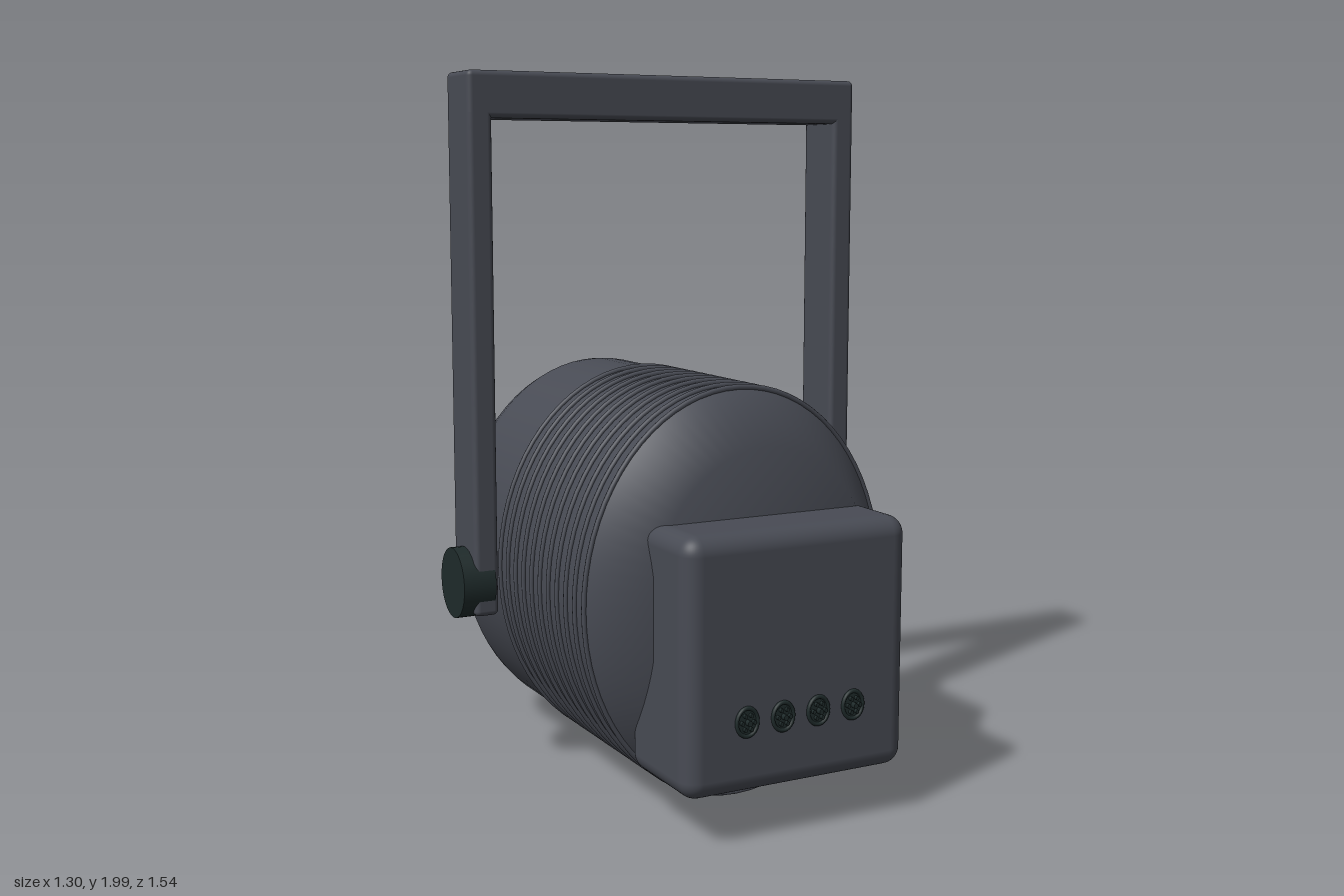
import * as THREE from 'three';
import { RoundedBoxGeometry } from 'three/addons/geometries/RoundedBoxGeometry.js';

export function createModel() {
  const model = new THREE.Group();
  model.name = 'stageLight';
  const material = (name, color) => {
    const m = new THREE.MeshStandardMaterial({ color });
    m.name = name;
    return m;
  };
  const grey = material('housing grey', 0x484b54);
  const dark = material('dark trim', 0x1f2b2b);
  const teal = material('lens teal', 0x35707e);

  const add = (parent, name, geometry, mat, x = 0, y = 0, z = 0) => {
    const mesh = new THREE.Mesh(geometry, mat);
    mesh.name = name;
    mesh.position.set(x, y, z);
    parent.add(mesh);
    return mesh;
  };
  // Cylinder lying along z
  const disc = (r, depth, sides = 32) =>
    new THREE.CylinderGeometry(r, r, depth, sides).rotateX(Math.PI / 2);

  // Lamp head: round parts squeezed into an oval
  const head = new THREE.Group();
  head.name = 'head';
  head.position.y = 0.587;
  head.scale.x = 0.815;
  model.add(head);

  const profile = [
    [0, -0.6], [0.512, -0.605], [0.53, -0.575], [0.548, -0.535], [0.562, -0.492], [0.565, -0.46],
    [0.565, 0.4], [0.562, 0.42], [0.425, 0.57], [0, 0.57],
  ].map(([r, z]) => new THREE.Vector2(r, z));
  add(head, 'barrel', new THREE.LatheGeometry(profile, 72).rotateX(Math.PI / 2), grey);

  // Cooling ribs
  const rib = new THREE.TorusGeometry(0.568, 0.008, 8, 72);
  for (let i = 0; i < 11; i++) add(head, 'coolingRib', rib, grey, 0, 0, 0.417 - i * 0.058);

  // Rear face plate and rim
  add(head, 'facePlate', disc(0.48, 0.02, 64), dark, 0, 0, -0.604);
  add(head, 'faceRim', new THREE.TorusGeometry(0.469, 0.009, 8, 72), grey, 0, 0, -0.629);

  // Seven lenses: one in the middle, six around it
  const lensGeo = disc(0.13, 0.054, 40);
  const lensRimGeo = new THREE.TorusGeometry(0.13, 0.008, 8, 40);
  const studGeo = disc(0.022, 0.03, 16);
  for (let i = 0; i < 7; i++) {
    const a = (i * Math.PI) / 3;
    const r = i < 6 ? 0.3 : 0;
    const lens = new THREE.Group();
    lens.name = 'lens';
    lens.position.set(r * Math.cos(a), r * Math.sin(a), 0);
    add(lens, 'lensGlass', lensGeo, teal, 0, 0, -0.727);
    add(lens, 'lensRim', lensRimGeo, dark, 0, 0, -0.709);
    add(lens, 'lensStud', studGeo, teal, -0.036, 0.03, -0.758);
    head.add(lens);
  }

  // Control box
  add(model, 'controlBox', new RoundedBoxGeometry(0.67, 0.685, 0.33, 5, 0.05), grey, 0, 0.487, 0.585);

  // Sockets with pins on the control box
  const pinGeo = disc(0.006, 0.018, 8);
  for (let i = 0; i < 4; i++) {
    const socket = new THREE.Group();
    socket.name = 'socket';
    socket.position.set(-0.161 + i * 0.107, 0.34, 0.75);
    socket.scale.x = 0.83;
    add(socket, 'socketPlate', disc(0.036, 0.008, 24), dark);
    add(socket, 'socketRing', new THREE.TorusGeometry(0.037, 0.006, 8, 24), dark, 0, 0, 0.003);
    for (let p = 0; p < 6; p++) {
      const a = (p * Math.PI) / 3;
      add(socket, 'socketPin', pinGeo, dark, 0.021 * Math.cos(a), 0.021 * Math.sin(a), 0.005);
    }
    add(socket, 'socketCentre', disc(0.008, 0.02, 10), dark, 0, 0, 0.01);
    model.add(socket);
  }

  // Carrying yoke and pivot knobs
  const yokeZ = -0.05;
  add(model, 'yokeBar', new RoundedBoxGeometry(1.23, 0.127, 0.165, 3, 0.015), grey, 0, 1.9365, yokeZ);
  for (const side of [-1, 1]) {
    add(model, 'yokeLeg', new RoundedBoxGeometry(0.07, 1.5, 0.165, 3, 0.015), grey, side * 0.58, 1.25, yokeZ);
    const knob = add(model, 'pivotKnob',
      new THREE.CylinderGeometry(0.1, 0.1, 0.095, 32).rotateZ(Math.PI / 2), dark, side * 0.6045, 0.587, yokeZ);
    knob.scale.z = 0.92;
  }
  return model;
}
